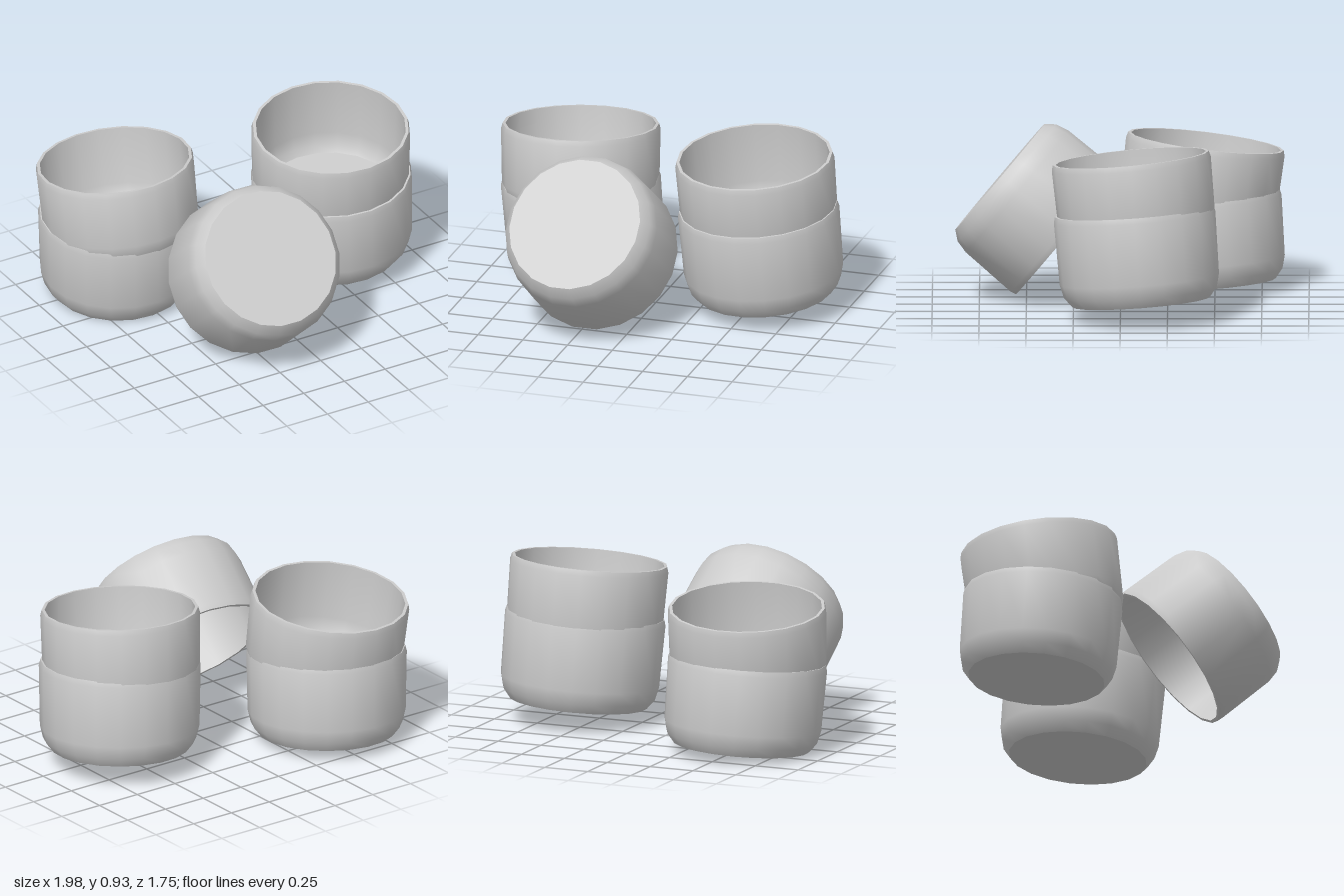
import * as THREE from 'three';
import { toCreasedNormals } from 'three/addons/utils/BufferGeometryUtils.js';

const material = new THREE.MeshStandardMaterial({ color: 0xcccccc, side: THREE.DoubleSide });

// One cup: flat base, bevelled foot, thin wall, open rim. Base at y = 0.
function cupGeometry(length, r) {
  const profile = [
    [0, 0], [r - 0.062, 0], [r - 0.023, 0.05], [r - 0.006, 0.12],
    [r, length - 0.03], [r - 0.008, length],
    [r - 0.024, length], [r - 0.03, 0.12], [r - 0.046, 0.05], [r - 0.07, 0.015], [0, 0.015],
  ].map(([x, y]) => new THREE.Vector2(x, y));
  return toCreasedNormals(new THREE.LatheGeometry(profile, 20), Math.PI / 5);
}

// Places a cup with its base centre at "base" and its open rim centre at "rim".
function cup(name, base, rim, radius) {
  const from = new THREE.Vector3(...base);
  const axis = new THREE.Vector3(...rim).sub(from);
  const mesh = new THREE.Mesh(cupGeometry(axis.length(), radius), material);
  mesh.name = name;
  mesh.position.copy(from);
  mesh.quaternion.setFromUnitVectors(new THREE.Vector3(0, 1, 0), axis.normalize());
  return mesh;
}

export function createModel() {
  const group = new THREE.Group();
  group.name = 'stackedCups';

  // Left stack: one cup nested in another
  const leftStack = new THREE.Group();
  leftStack.name = 'leftStack';
  leftStack.add(
    cup('lowerCup', [0.575, 0.108, -0.11], [0.547, 0.59, -0.073], 0.43),
    cup('upperCup', [0.553, 0.43, -0.097], [0.532, 0.873, -0.055], 0.424),
  );

  // Right stack, its upper cup leaning backwards
  const rightStack = new THREE.Group();
  rightStack.name = 'rightStack';
  rightStack.add(
    cup('lowerCup', [-0.535, 0.037, -0.46], [-0.56, 0.508, -0.426], 0.426),
    cup('upperCup', [-0.55, 0.355, -0.398], [-0.566, 0.793, -0.452], 0.424),
  );

  // Single cup tipped over, its base facing up and forward
  const tippedCup = cup('tippedCup', [-0.245, 0.651, 0.642], [-0.205, 0.352, 0.284], 0.429);

  group.add(leftStack, rightStack, tippedCup);
  return group;
}
